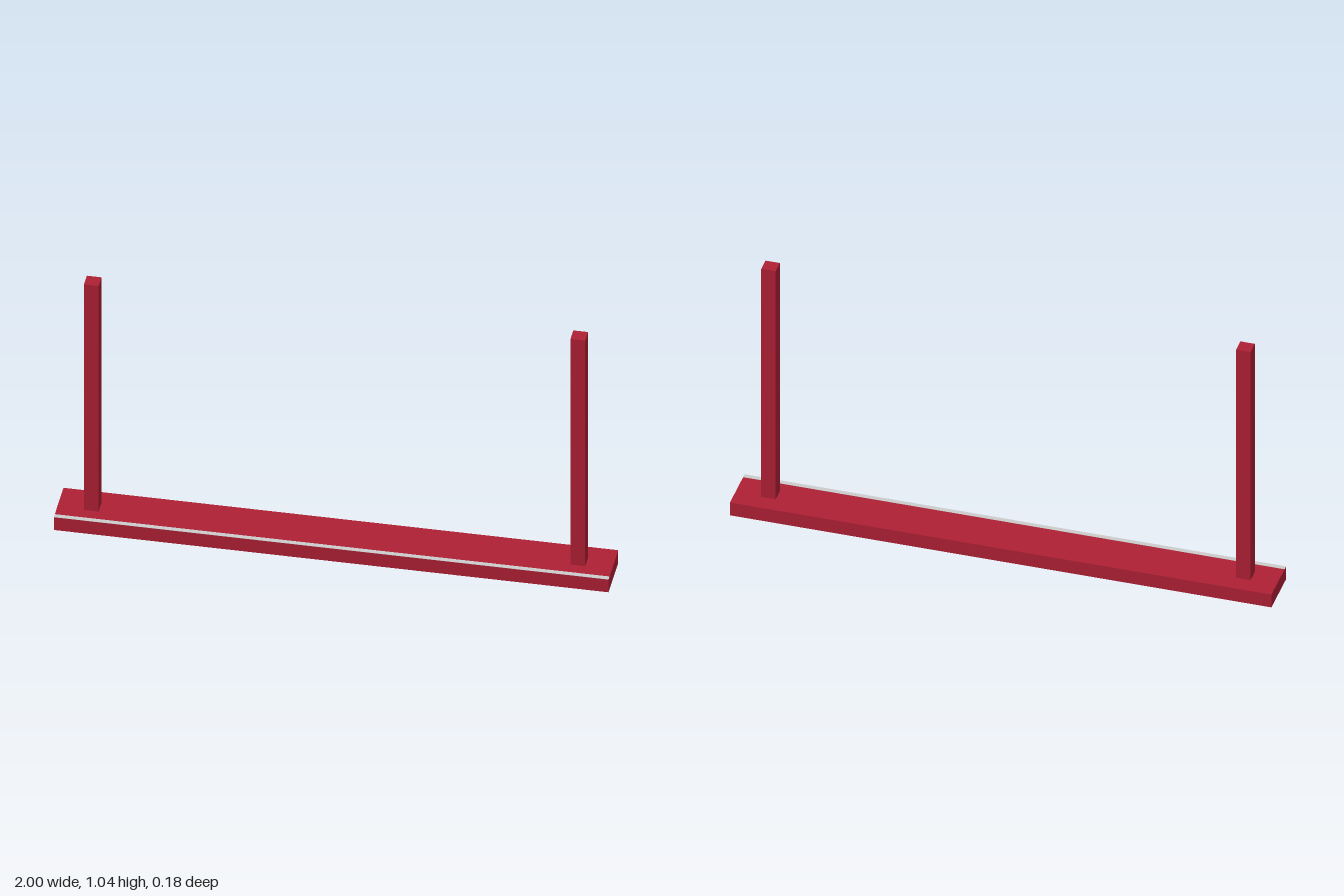
import * as THREE from 'three';

export function createModel() {
  const model = new THREE.Group();
  const red = new THREE.MeshStandardMaterial({ color: 0xb02035 });
  red.name = 'red paint';
  const grey = new THREE.MeshStandardMaterial({ color: 0xcccccc });
  grey.name = 'light grey';

  const H = 0.055, D = 0.091, rimH = 0.018;

  function box(name, material, w, h, d, x, y, z) {
    const mesh = new THREE.Mesh(new THREE.BoxGeometry(w, h, d), material);
    mesh.name = name;
    mesh.position.set(x, y, z);
    model.add(mesh);
    return mesh;
  }

  // Counter-clockwise rectangle, in plan (shape y becomes -z)
  function rect(path, x, y0, y1) {
    path.moveTo(-x, y0);
    path.lineTo(x, y0);
    path.lineTo(x, y1);
    path.lineTo(-x, y1);
    path.closePath();
    return path;
  }

  // Base: a solid slab above a rim that leaves a shallow recess underneath
  box('baseSlab', red, 2, H - rimH, D * 2, 0, (H + rimH) / 2, 0);
  const rimShape = rect(new THREE.Shape(), 1, -D, D);
  rimShape.holes.push(rect(new THREE.Path(), 0.9, -0.05, 0.065));
  const rimGeometry = new THREE.ExtrudeGeometry(rimShape, { depth: rimH, bevelEnabled: false });
  rimGeometry.rotateX(-Math.PI / 2);
  const rim = new THREE.Mesh(rimGeometry, red);
  rim.name = 'baseRim';
  model.add(rim);

  // Grey lining of the recess and thin strips along two opposite edges
  box('recessPanel', grey, 1.8, 0.002, 0.115, 0, rimH - 0.001, -0.0075);
  box('topFrontStrip', grey, 2, 0.002, 0.018, 0, H, D - 0.0095);
  box('bottomBackStrip', grey, 2, 0.002, 0.022, 0, 0.0005, -D + 0.0115);

  // Two square uprights
  for (const [name, side] of [['leftPost', 1], ['rightPost', -1]]) {
    box(name, red, 0.053, 1.04 - H, 0.053, side * 0.877, (1.04 + H) / 2, 0);
  }

  return model;
}
